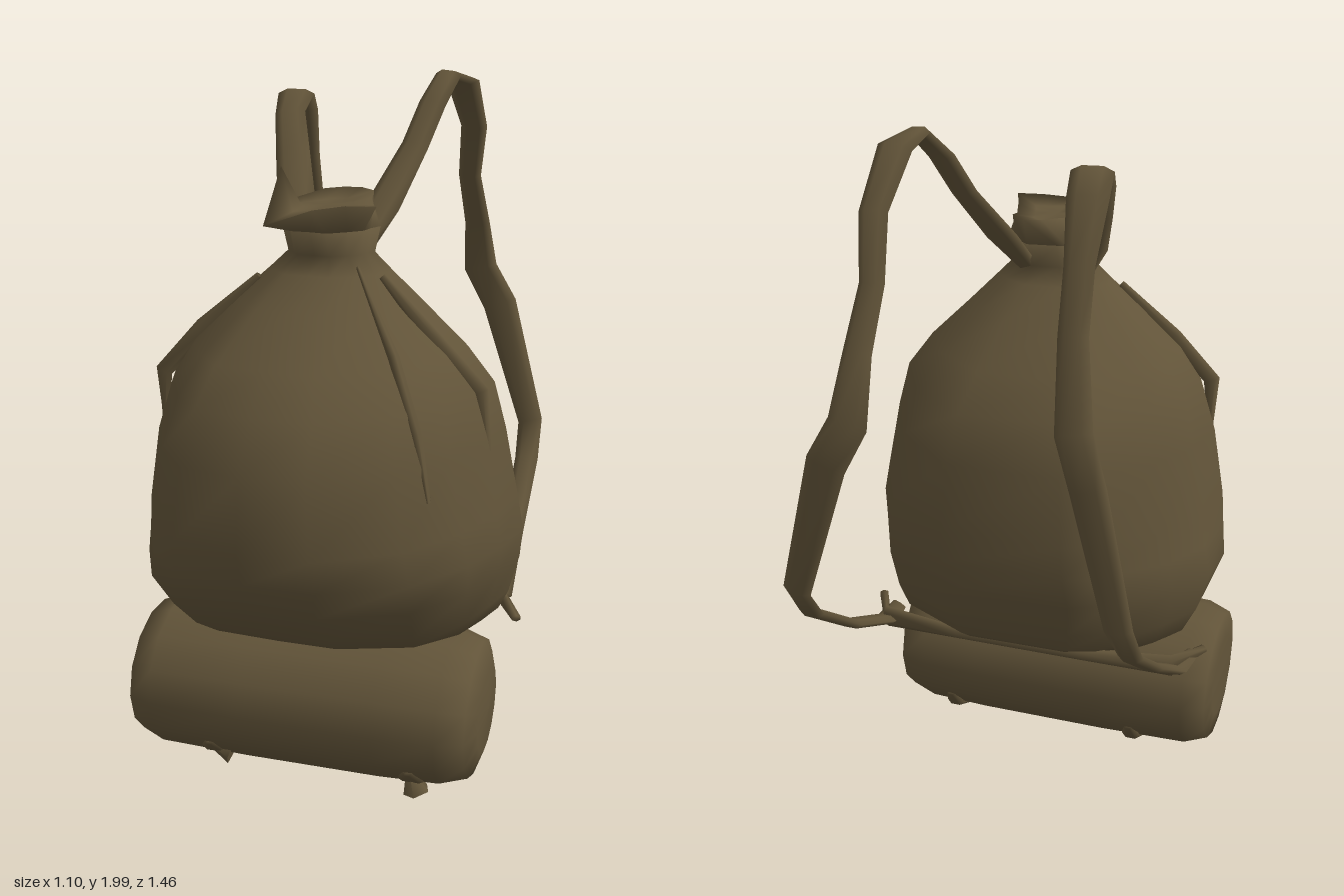
import * as THREE from 'three';

const cloth = new THREE.MeshStandardMaterial({ color: 0x625439, side: THREE.DoubleSide });
cloth.name = 'brown cloth';

// Skin a list of equal-length closed rings of Vector3, closing both ends
function loft(rings) {
  const n = rings[0].length, pos = [], idx = [];
  rings.forEach(r => r.forEach(p => pos.push(p.x, p.y, p.z)));
  for (let i = 0; i < rings.length - 1; i++) {
    for (let j = 0; j < n; j++) {
      const k = (j + 1) % n;
      const a = i * n + j, b = i * n + k, c = a + n, d = b + n;
      idx.push(a, c, b, b, c, d);
    }
  }
  [0, rings.length - 1].forEach(r => {
    const mid = new THREE.Vector3();
    rings[r].forEach(p => mid.addScaledVector(p, 1 / n));
    const m = pos.length / 3;
    pos.push(mid.x, mid.y, mid.z);
    for (let j = 0; j < n; j++) {
      const a = r * n + j, b = r * n + (j + 1) % n;
      if (r === 0) idx.push(m, a, b); else idx.push(m, b, a);
    }
  });
  const g = new THREE.BufferGeometry();
  g.setAttribute('position', new THREE.Float32BufferAttribute(pos, 3));
  g.setIndex(idx);
  g.computeVertexNormals();
  return g;
}

// Flat band along points [x, y, z, width]; side is the rough width direction
function band(points, side, thick) {
  const P = points.map(p => new THREE.Vector3(p[0], p[1], p[2]));
  return loft(P.map((p, i) => {
    const t = P[Math.min(i + 1, P.length - 1)].clone().sub(P[Math.max(i - 1, 0)]).normalize();
    const u = side.clone().addScaledVector(t, -side.dot(t)).normalize();
    const v = u.clone().cross(t);
    const ring = [];
    for (let j = 0; j < 6; j++) {
      const a = j / 6 * Math.PI * 2;
      ring.push(p.clone().addScaledVector(u, Math.cos(a) * points[i][3] / 2)
        .addScaledVector(v, Math.sin(a) * thick / 2));
    }
    return ring;
  }));
}

export function createModel() {
  const model = new THREE.Group();
  const add = (name, geo) => {
    const m = new THREE.Mesh(geo, cloth);
    m.name = name;
    model.add(m);
    return m;
  };
  const X = new THREE.Vector3(1, 0, 0), Y = new THREE.Vector3(0, 1, 0);

  // Uneven sack outline from above, flat at the back, in units of half width
  const outline = [
    [1, -0.17], [0.94, 0.13], [0.82, 0.44], [0.6, 0.76], [0.2, 1], [-0.16, 1], [-0.52, 0.92],
    [-0.72, 0.69], [-0.88, 0.36], [-1, 0], [-0.95, -0.32], [-0.8, -0.6], [-0.52, -0.88],
    [-0.34, -0.99], [0.33, -1], [0.76, -0.65],
  ];
  // Sack: y, left x, right x, back z, front z, pleat depth, corner fullness
  const levels = [
    [0.43, -0.30, 0.30, 0.0, 0.30, 0, 0],
    [0.46, -0.42, 0.43, -0.17, 0.36, 0, 0.1],
    [0.49, -0.46, 0.47, -0.20, 0.44, 0, 0.15],
    [0.56, -0.495, 0.50, -0.23, 0.54, 0, 0.16],
    [0.68, -0.54, 0.535, -0.285, 0.655, 0, 0.1],
    [0.77, -0.53, 0.548, -0.305, 0.70, 0, 0.04],
    [0.87, -0.52, 0.535, -0.315, 0.735, 0, 0],
    [1.07, -0.485, 0.495, -0.295, 0.72, 0, 0],
    [1.20, -0.45, 0.46, -0.23, 0.64, 0.01, 0],
    [1.30, -0.385, 0.385, -0.15, 0.56, 0.02, 0],
    [1.42, -0.26, 0.26, -0.03, 0.41, 0.03, 0],
    [1.50, -0.17, 0.18, 0.07, 0.31, 0.05, 0],
    [1.55, -0.115, 0.13, 0.10, 0.28, 0.06, 0],
    [1.62, -0.125, 0.145, 0.07, 0.325, 0.07, 0],
  ];
  const rings = levels.map(([y, xl, xr, zb, zf, pleat, full]) => outline.map(([u, v], j) => {
    const k = 1 - (j % 2) * pleat + full * Math.abs(u * v);
    return new THREE.Vector3(
      (xl + xr) / 2 + u * k * (xr - xl) / 2, y,
      (zb + zf) / 2 + v * k * (zf - zb) / 2);
  }));
  add('sack', loft(rings));

  // Ragged collar above the tied neck: outer rim, then a dip inside
  const rim = [
    [0.13, 1.67, 0.20], [0.15, 1.69, 0.27], [0.18, 1.70, 0.35], [0.10, 1.70, 0.36],
    [0.02, 1.69, 0.39], [-0.08, 1.66, 0.48], [-0.085, 1.79, 0.32], [-0.10, 1.72, 0.28],
    [-0.13, 1.71, 0.24], [-0.12, 1.68, 0.20], [-0.08, 1.69, 0.15], [-0.04, 1.70, 0.08],
    [0.0, 1.70, 0.04], [0.05, 1.70, 0.03], [0.10, 1.70, 0.08], [0.11, 1.69, 0.14],
  ].map(p => new THREE.Vector3(...p));
  const mid = new THREE.Vector3(0.01, 1.66, 0.22);
  add('collar', loft([
    rings[rings.length - 2], rings[rings.length - 1], rim,
    rim.map(p => p.clone().lerp(mid, 0.45).setY(1.68)),
  ]));

  // Loose folds down the sides and shoulders of the sack
  const folds = [
    [[0.17, 1.5, 0.25, 0.02], [0.31, 1.34, 0.25, 0.05], [0.44, 1.2, 0.24, 0.05], [0.48, 0.95, 0.25, 0.01]],
    [[-0.18, 1.48, 0.24, 0.02], [-0.34, 1.33, 0.26, 0.05], [-0.455, 1.2, 0.28, 0.05], [-0.46, 1.02, 0.27, 0.01]],
    [[0.11, 1.52, 0.27, 0.01], [0.25, 1.33, 0.43, 0.03], [0.33, 1.15, 0.50, 0.03], [0.37, 0.98, 0.52, 0.01]],
  ];
  folds.forEach((f, i) => add('fold' + (i + 1), band(f, X, 0.03)));

  // Bedroll lying across under the sack
  const roll = new THREE.LatheGeometry([
    [0, -0.55], [0.13, -0.55], [0.205, -0.54], [0.232, -0.47], [0.238, -0.2], [0.238, 0.2],
    [0.232, 0.38], [0.205, 0.46], [0.13, 0.485], [0, 0.49],
  ].map(p => new THREE.Vector2(...p)), 14);
  roll.rotateZ(-Math.PI / 2);
  roll.scale(1, 0.95, 1.08);
  add('bedroll', roll).position.set(0, 0.236, 0.213);

  // Ties under the bedroll, with a knot at the front
  [-0.3, 0.3].forEach(x => {
    add('rollTie', band([
      [x, 0.12, 0.42, 0.03], [x, 0.07, 0.37, 0.10], [x, 0.022, 0.27, 0.08],
      [x, 0.018, 0.14, 0.08], [x, 0.06, 0.05, 0.06], [x, 0.12, 0.01, 0.03],
    ], X, 0.03));
    const knot = new THREE.ConeGeometry(0.04, 0.1, 5);
    knot.rotateZ(x > 0 ? 0.3 : 1.3);
    add('tieKnot', knot).position.set(x, 0.07, 0.36);
  });

  // Shoulder straps from the neck over the top and down to the base
  add('leftStrap', band([
    [0.07, 1.54, 0.13, 0.07], [0.11, 1.65, 0.02, 0.10], [0.165, 1.80, -0.12, 0.08], [0.195, 1.91, -0.2, 0.08],
    [0.22, 1.985, -0.29, 0.08], [0.245, 1.96, -0.38, 0.10], [0.26, 1.82, -0.49, 0.08],
    [0.235, 1.66, -0.57, 0.07], [0.25, 1.5, -0.64, 0.08], [0.25, 1.34, -0.715, 0.11],
    [0.32, 1.22, -0.71, 0.11], [0.44, 0.83, -0.69, 0.08],
    [0.445, 0.72, -0.61, 0.075], [0.445, 0.56, -0.38, 0.07], [0.45, 0.44, -0.13, 0.08],
    [0.43, 0.47, -0.08, 0.05],
  ], X, 0.03));
  add('rightStrap', band([
    [-0.09, 1.54, 0.13, 0.07], [-0.14, 1.64, 0.03, 0.11], [-0.2, 1.77, -0.12, 0.10], [-0.24, 1.87, -0.22, 0.09],
    [-0.25, 1.92, -0.31, 0.11], [-0.26, 1.87, -0.38, 0.11], [-0.265, 1.72, -0.46, 0.08],
    [-0.27, 1.56, -0.52, 0.08], [-0.30, 1.34, -0.605, 0.10],
    [-0.34, 1.2, -0.61, 0.10], [-0.425, 0.82, -0.605, 0.08],
    [-0.435, 0.69, -0.51, 0.07], [-0.45, 0.56, -0.33, 0.07], [-0.47, 0.44, -0.13, 0.08],
    [-0.51, 0.47, -0.07, 0.04],
  ], X, 0.03));

  // Band joining the strap ends across the base of the back
  add('baseBand', band([
    [-0.54, 0.48, -0.05, 0.02], [-0.46, 0.45, -0.13, 0.07], [-0.2, 0.46, -0.17, 0.04],
    [0.2, 0.46, -0.17, 0.04], [0.45, 0.45, -0.13, 0.07], [0.53, 0.44, 0.02, 0.02],
  ], Y, 0.03));
  return model;
}
